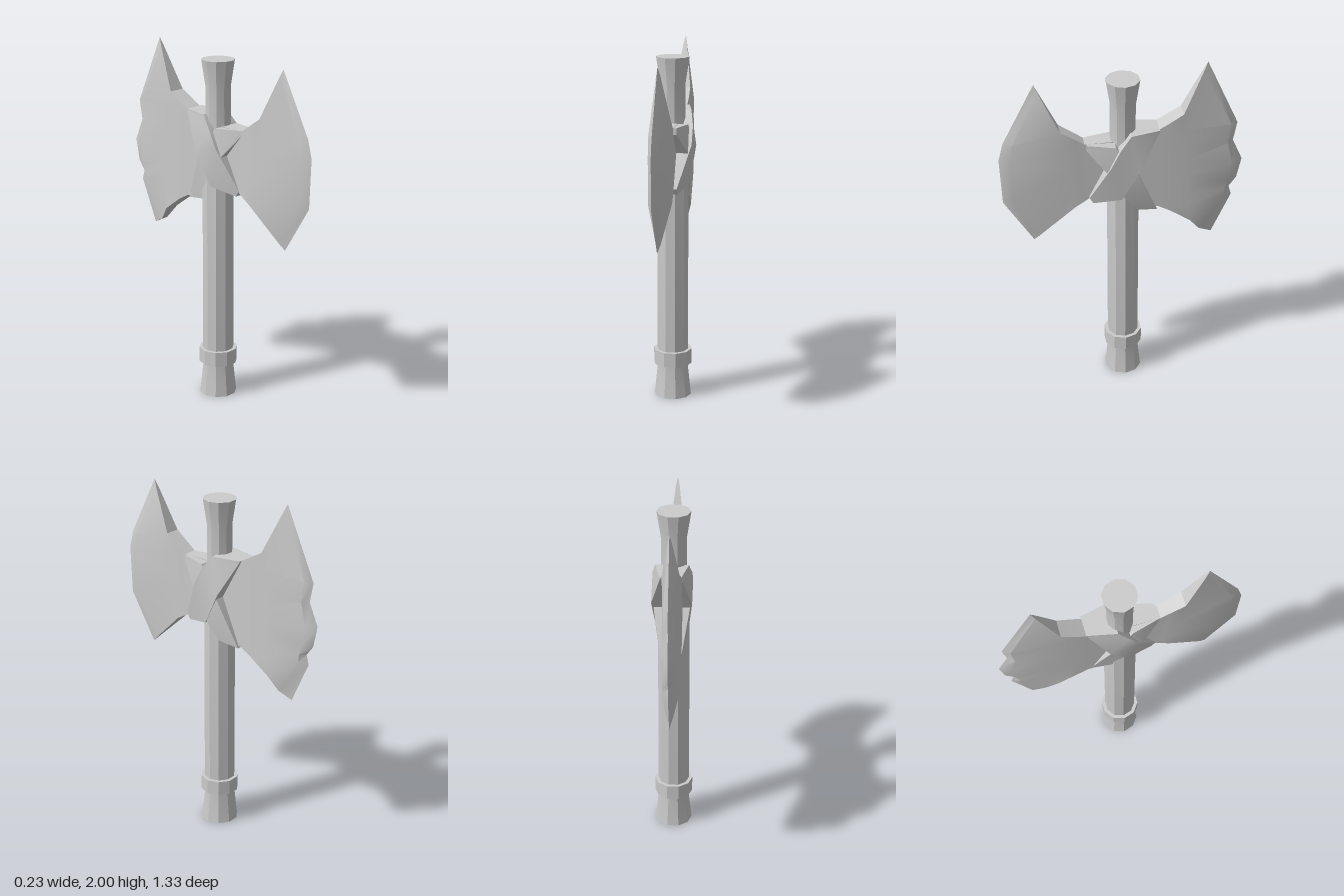
import * as THREE from 'three';
import { toCreasedNormals } from 'three/addons/utils/BufferGeometryUtils.js';

const material = new THREE.MeshStandardMaterial({ color: 0xcccccc });
const CREASE = 0.5;
const OFFSET = -0.008; // shaft and blades sit slightly off the binding's centre

function addMesh(group, name, geometry, x = 0) {
  const mesh = new THREE.Mesh(toCreasedNormals(geometry, CREASE), material);
  mesh.name = name;
  mesh.position.x = x;
  group.add(mesh);
}

// Closed slab, mirrored in x, from rows of [z, y, half thickness].
// Rows and columns run counter-clockwise as seen from +x.
function slab(rows) {
  const positions = [];
  const point = ([z, y, t], side) => new THREE.Vector3(side * t, y, z);
  const tri = (a, b, c) => {
    if (a.equals(b) || b.equals(c) || c.equals(a)) return;
    for (const p of [a, b, c]) positions.push(p.x, p.y, p.z);
  };
  const quad = (a, b, c, d) => { tri(a, b, c); tri(a, c, d); };
  const m = rows.length - 1, n = rows[0].length - 1;

  // Two broad faces
  for (let i = 0; i < m; i++) {
    for (let j = 0; j < n; j++) {
      const ring = [rows[i][j], rows[i][j + 1], rows[i + 1][j + 1], rows[i + 1][j]];
      quad(...ring.map(p => point(p, 1)));
      quad(...ring.reverse().map(p => point(p, -1)));
    }
  }
  // Blunt walls round the outline, vanishing where the thickness is zero
  const rim = [
    ...rows[0],
    ...rows.slice(1, m).map(r => r[n]),
    ...[...rows[m]].reverse(),
    ...rows.slice(1, m).map(r => r[0]).reverse(),
  ];
  rim.forEach((p, k) => {
    const q = rim[(k + 1) % rim.length];
    quad(point(p, 1), point(p, -1), point(q, -1), point(q, 1));
  });
  const geometry = new THREE.BufferGeometry();
  geometry.setAttribute('position', new THREE.Float32BufferAttribute(positions, 3));
  return geometry;
}

// Blade: first and last rows are full; the others give only bevel and edge,
// with their inner columns blended between the two outer rows.
function blade(first, edges, last) {
  const inner = first.length - 2;
  const middle = edges.map(([bevel, edge], i) => {
    const f = (i + 1) / (edges.length + 1);
    const blended = first.slice(0, inner).map((p, j) =>
      p.map((v, k) => THREE.MathUtils.lerp(v, last[j][k], f)));
    return [...blended, bevel, edge];
  });
  return slab([first, ...middle, last]);
}

function lathe(profile) {
  return new THREE.LatheGeometry(profile.map(p => new THREE.Vector2(...p)), 10, Math.PI / 2);
}

export function createModel() {
  const model = new THREE.Group();
  model.name = 'doubleAxe';

  // Ten-sided shaft with flared ends, and the grip ring
  addMesh(model, 'shaft', lathe([
    [0, 0], [0.105, 0], [0.084, 0.2], [0.088, 0.27], [0.087, 1.25],
    [0.07, 1.5], [0.069, 1.79], [0.092, 1.94], [0, 1.94],
  ]), OFFSET);
  addMesh(model, 'gripRing', lathe([
    [0.08, 0.19], [0.108, 0.19], [0.108, 0.275], [0.08, 0.275],
  ]), OFFSET);

  // Smaller front blade, rows from top to bottom
  addMesh(model, 'frontBlade', blade(
    [[0, 1.585, 0.036], [0.21, 1.585, 0.036], [0.26, 1.62, 0.038],
      [0.34, 1.675, 0.042], [0.445, 1.906, 0.01], [0.465, 1.95, 0]],
    [
      [[0.595, 1.61, 0.026], [0.64, 1.61, 0]],
      [[0.605, 1.5, 0.026], [0.665, 1.51, 0]],
      [[0.6, 1.26, 0.026], [0.655, 1.24, 0]],
    ],
    [[0, 1.245, 0.036], [0.18, 1.245, 0.036], [0.22, 1.22, 0.038],
      [0.27, 1.19, 0.042], [0.46, 1.01, 0.012], [0.495, 0.975, 0]],
  ), OFFSET);

  // Larger chipped back blade, rows from bottom to top
  addMesh(model, 'backBlade', blade(
    [[-0.06, 1.16, 0.05], [-0.19, 1.15, 0.05], [-0.26, 1.11, 0.05],
      [-0.37, 1.03, 0.044], [-0.43, 0.95, 0.02], [-0.505, 0.91, 0]],
    [
      [[-0.56, 1.16, 0.028], [-0.61, 1.15, 0]],
      [[-0.565, 1.205, 0.028], [-0.595, 1.205, 0]],
      [[-0.58, 1.26, 0.028], [-0.635, 1.26, 0]],
      [[-0.6, 1.38, 0.028], [-0.66, 1.38, 0]],
      [[-0.57, 1.505, 0.028], [-0.605, 1.505, 0]],
      [[-0.585, 1.62, 0.026], [-0.625, 1.615, 0]],
    ],
    [[0, 1.645, 0.05], [-0.19, 1.645, 0.05], [-0.235, 1.67, 0.05],
      [-0.32, 1.72, 0.046], [-0.43, 1.955, 0.01], [-0.45, 2, 0]],
  ), OFFSET);

  // Crossed binding: lower strap, then the strap lying over it
  addMesh(model, 'underStrap', slab([
    [[0.2, 1.55, 0.045], [0.1, 1.43, 0.092], [0, 1.25, 0.09], [-0.06, 1.16, 0.07]],
    [[0.2, 1.585, 0.045], [0.05, 1.58, 0.085], [-0.06, 1.42, 0.1], [-0.18, 1.14, 0.052]],
  ]));
  addMesh(model, 'overStrap', slab([
    [[0.17, 1.215, 0.045], [0.02, 1.25, 0.09], [-0.08, 1.44, 0.11], [-0.18, 1.62, 0.06]],
    [[0.19, 1.25, 0.045], [0.08, 1.47, 0.108], [0.03, 1.57, 0.108], [-0.03, 1.645, 0.09]],
    [[0.19, 1.25, 0.045], [0.08, 1.47, 0.108], [0.03, 1.57, 0.108], [-0.03, 1.645, 0.09]],
  ].slice(0, 2).map((row, i) => (i ? [...row, [-0.19, 1.645, 0.056]] : [...row, [-0.19, 1.64, 0.056]]))));

  return model;
}
